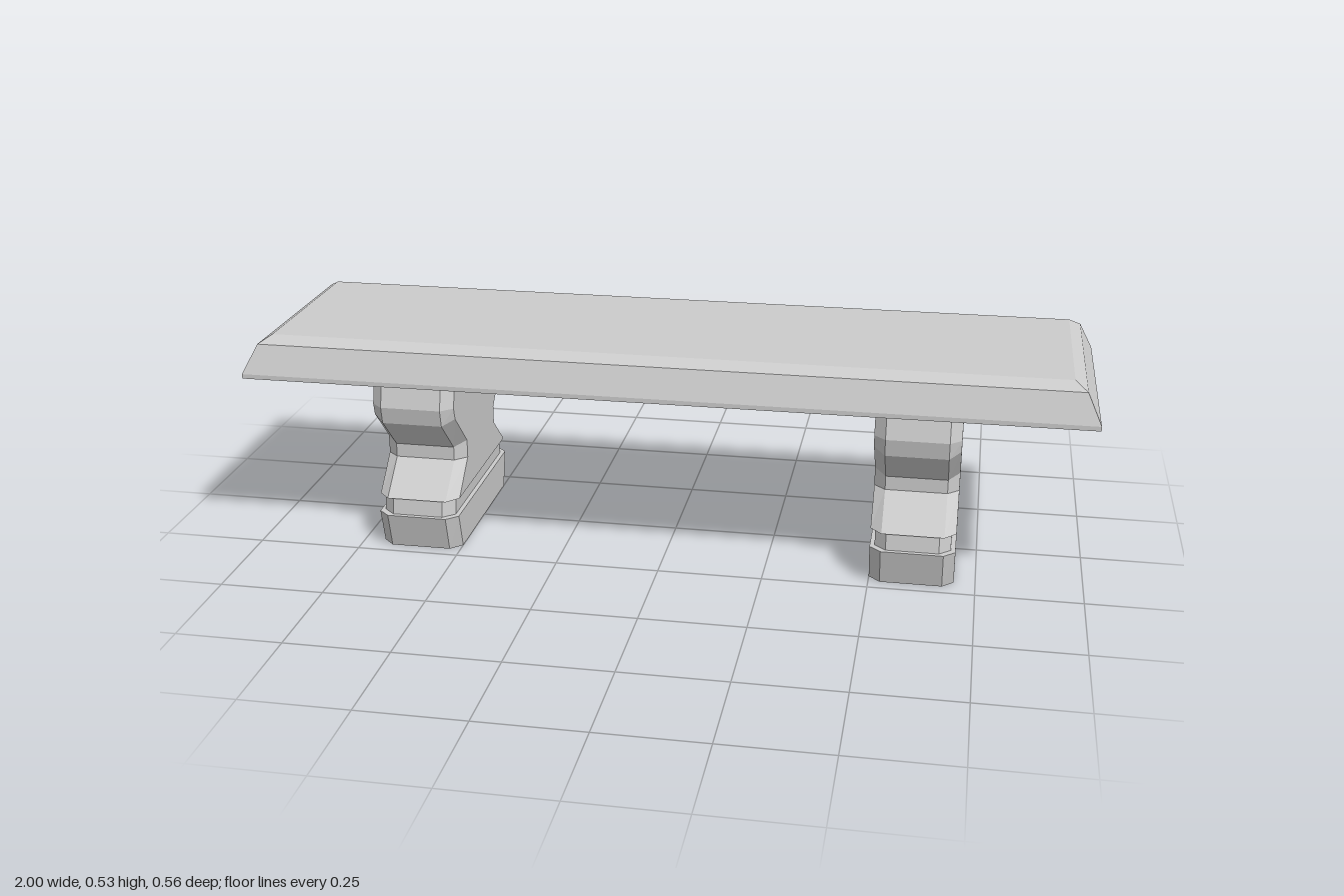
import * as THREE from 'three';

const material = new THREE.MeshStandardMaterial({ color: 0xcccccc, flatShading: true });

// Skin a stack of equal-length rings (bottom to top) and cap both ends.
function loft(rings) {
  const n = rings[0].length;
  const index = [];
  for (let r = 0; r < rings.length - 1; r++) {
    for (let i = 0; i < n; i++) {
      const a = r * n + i, b = r * n + (i + 1) % n;
      index.push(a, a + n, b, b, a + n, b + n);
    }
  }
  const top = (rings.length - 1) * n;
  for (let i = 1; i < n - 1; i++) {
    index.push(0, i, i + 1, top, top + i + 1, top + i);
  }
  const indexed = new THREE.BufferGeometry();
  indexed.setAttribute('position', new THREE.Float32BufferAttribute(rings.flat(2), 3));
  indexed.setIndex(index);
  const geometry = indexed.toNonIndexed();
  geometry.computeVertexNormals();
  return geometry;
}

// Rectangular ring, running clockwise-from-below (+x towards +z).
const slabRing = ([y, x, z]) => [[x, y, -z], [x, y, z], [-x, y, z], [-x, y, -z]];

// Rectangular ring with cut corners; the end faces and side faces
// may bend at slightly different heights.
const CUT = 0.027;
function legRing([yEnd, zEnd, ySide, zSide, x]) {
  const c = x - CUT;
  return [
    [x, ySide, -zSide], [x, ySide, zSide], [c, yEnd, zEnd], [-c, yEnd, zEnd],
    [-x, ySide, zSide], [-x, ySide, -zSide], [-c, yEnd, -zEnd], [c, yEnd, -zEnd],
  ];
}

export function createModel() {
  const bench = new THREE.Group();
  bench.name = 'bench';

  // Seat slab with bevelled rim: height, half length, half depth
  const seat = new THREE.Mesh(loft([
    [0.437, 1, 0.278], [0.448, 1, 0.278], [0.516, 0.967, 0.25], [0.534, 0.938, 0.223],
  ].map(slabRing)), material);
  seat.name = 'seat';
  bench.add(seat);

  // Leg profile: end height, end depth, side height, side depth, half width
  const legGeometry = loft([
    [0, 0.217, 0, 0.191, 0.1],
    [0.089, 0.24, 0.089, 0.215, 0.1],
    [0.089, 0.229, 0.089, 0.204, 0.089],
    [0.127, 0.223, 0.126, 0.198, 0.089],
    [0.131, 0.232, 0.131, 0.203, 0.1],
    [0.207, 0.145, 0.207, 0.12, 0.1],
    [0.241, 0.145, 0.252, 0.12, 0.1],
    [0.328, 0.233, 0.34, 0.208, 0.1],
    [0.37, 0.241, 0.37, 0.216, 0.1],
    [0.438, 0.222, 0.438, 0.197, 0.1],
  ].map(legRing));

  for (const [name, x] of [['leftLeg', 0.6], ['rightLeg', -0.6]]) {
    const leg = new THREE.Mesh(legGeometry, material);
    leg.name = name;
    leg.position.x = x;
    bench.add(leg);
  }
  return bench;
}
